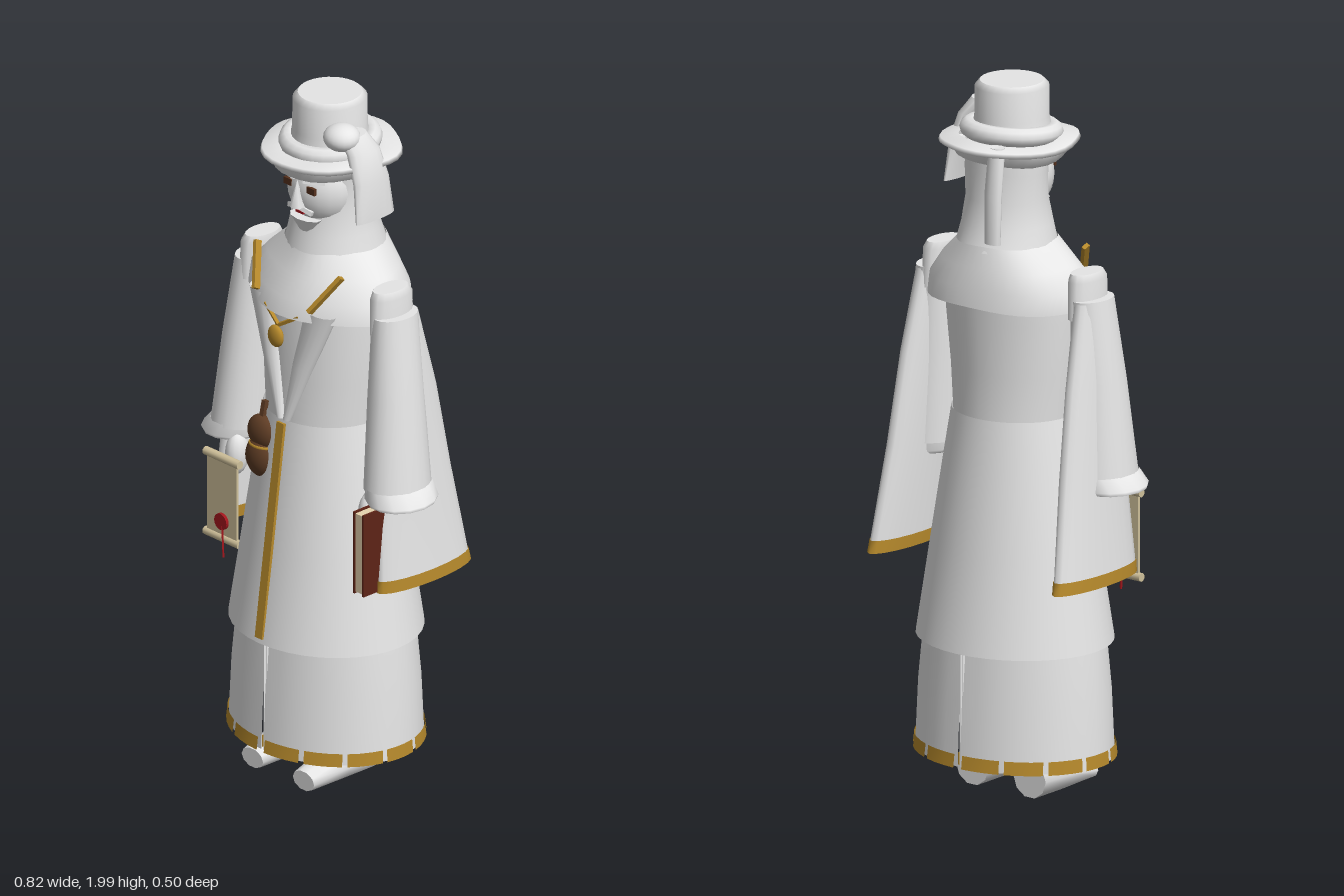
import * as THREE from 'three';

const mat = (name, color) => {
  const m = new THREE.MeshStandardMaterial({ color, side: THREE.DoubleSide });
  m.name = name;
  return m;
};

// Skin elliptical sections [y, rx, rz, cx, cz], bottom to top, over an angle range
function loft(sections, { n = 28, from = 0, to = Math.PI * 2, bottom = false, top = false, wobble = 0 } = {}) {
  const pos = [], idx = [];
  const closed = to - from > 6.28;
  const cols = closed ? n : n + 1;
  const ring = ([y, rx, rz, cx = 0, cz = 0]) => {
    for (let j = 0; j < cols; j++) {
      const t = from + (to - from) * j / n;
      const k = 1 + wobble * Math.sin(t * 5 + y * 9);
      pos.push(cx + rx * k * Math.cos(t), y + wobble * 0.15 * Math.sin(t * 3), cz + rz * k * Math.sin(t));
    }
  };
  sections.forEach(ring);
  for (let i = 0; i < sections.length - 1; i++) for (let j = 0; j < n; j++) {
    const a = i * cols + j, b = i * cols + (j + 1) % cols, c = a + cols, d = b + cols;
    idx.push(a, c, b, b, c, d);
  }
  const cap = (s, up) => {
    const base = pos.length / 3;
    ring(s);
    pos.push(s[0 + 3] || 0, s[0], s[4] || 0);
    for (let j = 0; j < n; j++) {
      const p = base + j, q = base + (j + 1) % cols;
      up ? idx.push(base + cols, q, p) : idx.push(base + cols, p, q);
    }
  };
  if (bottom) cap(sections[0], false);
  if (top) cap(sections[sections.length - 1], true);
  const g = new THREE.BufferGeometry();
  g.setAttribute('position', new THREE.Float32BufferAttribute(pos, 3));
  g.setIndex(idx);
  g.computeVertexNormals();
  return g;
}

export function createModel() {
  const root = new THREE.Group();
  root.name = 'robedScholar';
  const white = mat('white cloth', 0xe6e6e6), gold = mat('gold trim', 0xb78a2c);
  const brown = mat('gourd brown', 0x5f3d25), cover = mat('book cover', 0x5e2417);
  const paper = mat('parchment', 0xcfc09a), pages = mat('book pages', 0xe6d3ae);
  const red = mat('seal red', 0xa3161d), eye = mat('eye brown', 0x54301c);

  const add = (name, geo, m, p = [0, 0, 0], s = [1, 1, 1], parent = root) => {
    const o = new THREE.Mesh(geo, m);
    o.name = name;
    o.position.set(...p);
    o.scale.set(...s);
    parent.add(o);
    return o;
  };
  const box = (name, m, size, p, parent) => add(name, new THREE.BoxGeometry(...size), m, p, [1, 1, 1], parent);
  const ball = (name, m, p, s) => add(name, new THREE.SphereGeometry(1, 20, 14), m, p, s);
  // flat bar joining two points
  const bar = (name, m, a, b, w, d) => {
    const A = new THREE.Vector3(...a), B = new THREE.Vector3(...b);
    const o = box(name, m, [w, A.distanceTo(B), d], A.clone().add(B).multiplyScalar(0.5).toArray());
    o.quaternion.setFromUnitVectors(new THREE.Vector3(0, 1, 0), B.sub(A).normalize());
    return o;
  };

  // Robe
  add('outerSkirt', loft([[0.44, 0.28, 0.25], [0.7, 0.24, 0.213], [0.95, 0.2, 0.18], [1.08, 0.178, 0.163]], { n: 36 }), white);
  add('torso', loft([[1.05, 0.172, 0.155], [1.2, 0.186, 0.152], [1.35, 0.2, 0.155, 0, -0.005], [1.45, 0.2, 0.15, 0, -0.01]]), white);
  add('cape', loft([[1.398, 0.25, 0.19, 0, -0.014], [1.45, 0.246, 0.18, 0, -0.018], [1.505, 0.2, 0.157, 0, -0.028],
    [1.565, 0.135, 0.138, 0, -0.035]], { n: 40, wobble: 0.02 }), white);
  add('hood', loft([[1.55, 0.138, 0.14, 0, -0.035], [1.61, 0.126, 0.122, 0, -0.032], [1.68, 0.116, 0.106, 0, -0.034],
    [1.76, 0.121, 0.1, 0, -0.036], [1.83, 0.122, 0.105, 0, -0.03]]), white);

  // Wide trouser legs meeting on the centre line, with hem trim and shoes
  for (const s of [-1, 1]) {
    const start = s > 0 ? -Math.PI / 2 : Math.PI / 2;
    add('trouserLeg', loft([[0.12, 0.284, 0.238, s * 0.004], [0.3, 0.276, 0.23, s * 0.004], [0.47, 0.26, 0.216, s * 0.004]],
      { n: 18, from: start, to: start + Math.PI }), white);
    box('trouserInseam', white, [0.003, 0.33, 0.455], [s * 0.005, 0.29, 0]);
    box('inseamTrim', gold, [0.003, 0.034, 0.46], [s * 0.008, 0.14, 0]);
    for (let i = 0; i < 7; i++) {
      const t = start + 0.04 + i * (Math.PI - 0.04) / 7;
      add('hemTrim', loft([[0.118, 0.293, 0.248], [0.155, 0.29, 0.243]], { n: 3, from: t, to: t + 0.39 }), gold);
    }
    add('ankle', loft([[0.1, 0.05, 0.05, s * 0.1], [0.25, 0.06, 0.06, s * 0.1]], { n: 12, bottom: true }), white);
    const shoe = add('shoe', loft([[-0.06, 0.056, 0.054, 0, -0.064], [0.06, 0.056, 0.05, 0, -0.061],
      [0.18, 0.042, 0.028, 0, -0.042]], { n: 10, bottom: true, top: true }), white, [s * 0.1, 0, 0]);
    shoe.rotation.x = Math.PI / 2;
  }
  bar('frontTrim', gold, [0, 0.455, 0.247], [0, 1.07, 0.166], 0.028, 0.012);

  // Rolled lapels and chest ornaments
  for (const s of [-1, 1]) {
    add('lapel', loft([[1.08, 0.012, 0.012, s * 0.012, 0.157], [1.25, 0.034, 0.026, s * 0.058, 0.14],
      [1.42, 0.054, 0.032, s * 0.11, 0.122]], { n: 14 }), white);
    bar('capeStrap', gold, [s * 0.164, 1.535, 0.1], [s * 0.104, 1.432, 0.163], 0.02, 0.012);
    bar('necklaceChain', gold, [s * 0.065, 1.405, 0.164], [0, 1.365, 0.178], 0.009, 0.009);
  }
  ball('pendant', gold, [0, 1.335, 0.188], [0.028, 0.032, 0.014]);

  // Gourd lying against the robe
  ball('gourdLower', brown, [-0.086, 0.938, 0.162], [0.051, 0.057, 0.032]);
  ball('gourdUpper', brown, [-0.086, 1.01, 0.155], [0.051, 0.05, 0.03]);
  add('gourdCord', new THREE.TorusGeometry(0.038, 0.005, 8, 20), gold, [-0.086, 0.974, 0.158], [1, 0.7, 1]).rotation.x = Math.PI / 2;
  bar('gourdNeck', brown, [-0.086, 1.04, 0.158], [-0.086, 1.1, 0.145], 0.014, 0.014);

  // Head and face
  ball('head', white, [0, 1.735, 0.005], [0.104, 0.115, 0.102]);
  add('nose', new THREE.ConeGeometry(0.022, 0.08, 6), white, [0, 1.735, 0.108]);
  add('beard', new THREE.ConeGeometry(0.055, 0.07, 10), white, [0, 1.622, 0.075], [1, 1, 0.6]).rotation.x = Math.PI;
  box('mouth', red, [0.028, 0.007, 0.008], [0, 1.676, 0.097]);
  for (const s of [-1, 1]) {
    box('eye', eye, [0.03, 0.019, 0.009], [s * 0.045, 1.752, 0.098]);
    bar('eyebrow', white, [s * 0.02, 1.774, 0.103], [s * 0.075, 1.778, 0.08], 0.012, 0.014);
    bar('moustache', white, [0, 1.695, 0.106], [s * 0.045, 1.682, 0.095], 0.012, 0.012);
  }

  // Hat
  add('hatBand', loft([[1.785, 0.122, 0.124, 0, -0.012], [1.795, 0.15, 0.15, 0, -0.012], [1.825, 0.16, 0.162, 0, -0.015]],
    { bottom: true, wobble: 0.03 }), white);
  add('hatBrim', loft([[1.822, 0.15, 0.15, 0, -0.015], [1.832, 0.19, 0.192, 0, -0.02], [1.844, 0.186, 0.188, 0, -0.02],
    [1.85, 0.14, 0.14, 0, -0.015]], { n: 32, bottom: true, wobble: 0.025 }), white);
  add('hatRoll', new THREE.TorusGeometry(0.115, 0.026, 10, 28), white, [0, 1.862, -0.015]).rotation.x = Math.PI / 2 + 0.08;
  add('hatCrown', loft([[1.84, 0.113, 0.113, 0, -0.013], [1.9, 0.1, 0.104, 0, -0.013], [1.985, 0.098, 0.104, 0, -0.013],
    [2.0, 0.086, 0.088, 0, -0.013]], { top: true }), white);
  ball('scarfKnot', white, [0.108, 1.917, 0.045], [0.052, 0.038, 0.05]);
  add('scarfSideTail', loft([[1.69, 0.013, 0.07, 0.19, 0], [1.8, 0.024, 0.062, 0.178, 0.003], [1.88, 0.028, 0.055, 0.152, 0.008],
    [1.925, 0.032, 0.045, 0.12, 0.02]], { n: 14, bottom: true, top: true }), white);
  add('scarfBackTail', loft([[1.585, 0.026, 0.014, -0.065, -0.175], [1.72, 0.028, 0.016, -0.065, -0.172],
    [1.85, 0.024, 0.02, -0.06, -0.15]], { n: 12, bottom: true, top: true }), white);

  // Arms with flared sleeves, hanging sleeves and hands
  for (const s of [-1, 1]) {
    const arm = new THREE.Group();
    arm.name = s > 0 ? 'leftArm' : 'rightArm';
    root.add(arm);
    const part = (name, secs, m, opt) =>
      add(name, loft(secs.map(([y, rx, rz, cx, cz]) => [y, rx, rz, s * cx, cz]), opt), m, [0, 0, 0], [1, 1, 1], arm);
    part('shoulderCap', [[1.38, 0.04, 0.072, 0.255, 0], [1.485, 0.038, 0.07, 0.253, 0], [1.505, 0.032, 0.058, 0.25, 0]], white, { n: 16, top: true });
    part('flaredSleeve', [[0.94, 0.082, 0.1, 0.299, 0.02], [1.2, 0.068, 0.084, 0.284, 0.012], [1.435, 0.051, 0.071, 0.268, 0]], white, { n: 20, top: true });
    part('cuff', [[0.905, 0.086, 0.1, 0.323, 0.025], [0.915, 0.092, 0.106, 0.32, 0.025], [0.95, 0.076, 0.102, 0.304, 0.02]], white, { n: 14 });
    const hang = [[0.655, 0.043, 0.168, 0.322, -0.055], [0.69, 0.043, 0.164, 0.32, -0.052], [0.95, 0.042, 0.133, 0.3, -0.037],
      [1.2, 0.041, 0.105, 0.288, -0.022], [1.43, 0.036, 0.07, 0.275, -0.002]];
    part('hangingSleeve', hang, white, { n: 20 });
    part('sleeveTrim', hang.slice(0, 2).map(([y, rx, rz, cx, cz]) => [y, rx + 0.003, rz + 0.003, cx, cz]), gold, { n: 20 });
    add('hand', new THREE.SphereGeometry(1, 14, 10), white, [s * 0.26, 0.865, 0.085], [0.03, 0.062, 0.035], arm);
  }

  // Scroll with wax seal
  box('scrollSheet', paper, [0.115, 0.24, 0.009], [-0.262, 0.745, 0.136]);
  for (const y of [0.865, 0.628])
    add('scrollRoller', new THREE.CylinderGeometry(0.012, 0.012, 0.135, 12), paper, [-0.262, y, 0.136]).rotation.z = Math.PI / 2;
  add('waxSeal', new THREE.CylinderGeometry(0.024, 0.024, 0.009, 16), red, [-0.258, 0.68, 0.145]).rotation.x = Math.PI / 2;
  bar('sealRibbon', red, [-0.255, 0.67, 0.145], [-0.247, 0.58, 0.148], 0.012, 0.005);

  // Book
  const book = new THREE.Group();
  book.name = 'book';
  book.position.set(0.3, 0.78, 0.125);
  root.add(book);
  box('bookPages', pages, [0.03, 0.232, 0.076], [0, 0, 0], book);
  for (const s of [-1, 1]) box('bookCover', cover, [0.006, 0.242, 0.082], [s * 0.018, 0, 0], book);
  box('bookSpine', cover, [0.042, 0.242, 0.006], [0, 0, -0.04], book);
  return root;
}
